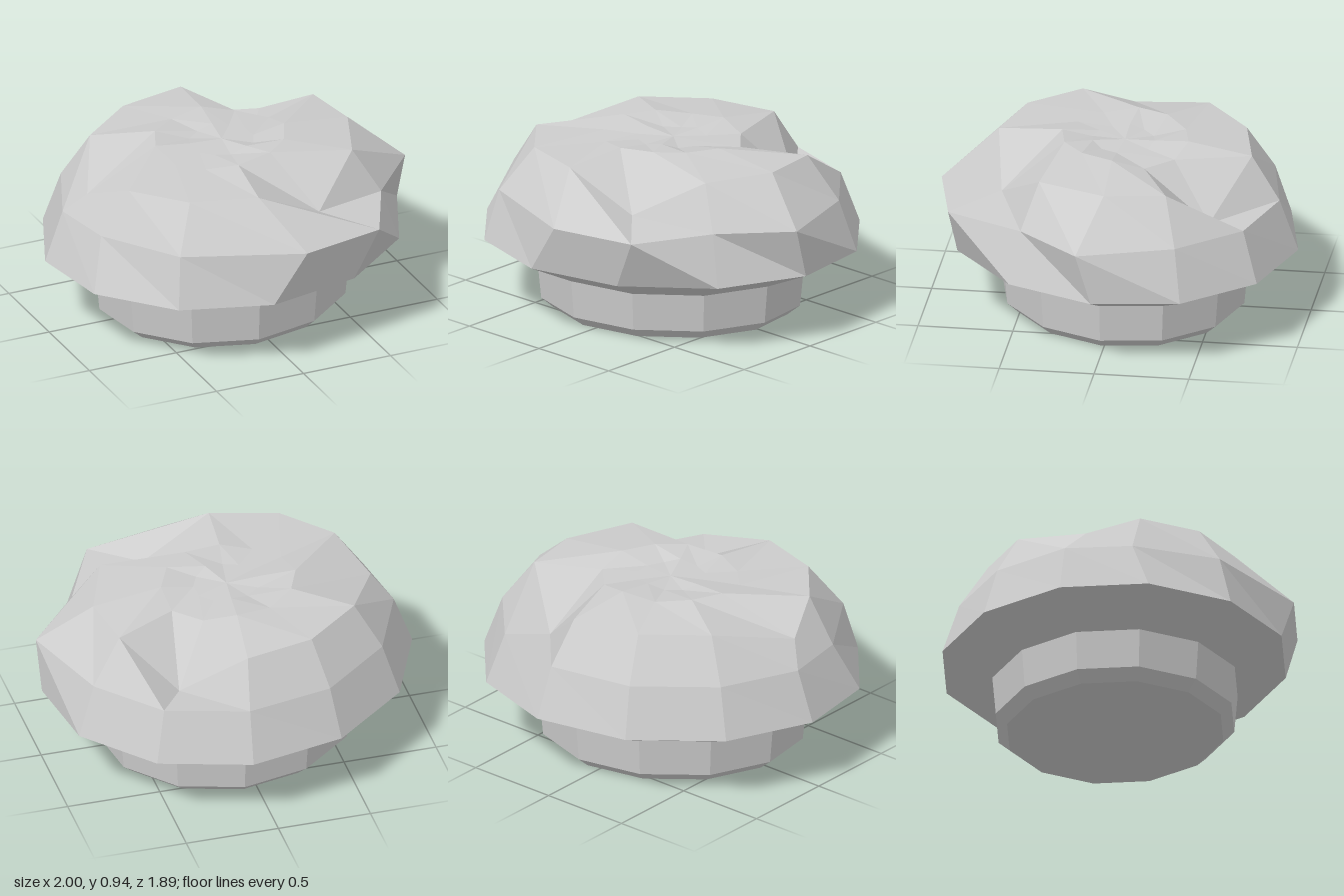
import * as THREE from 'three';

const SIDES = 12;

// Widest loop of the cap as [x, z]; the base repeats it at smaller scales.
const RIM = [[0.99, 0.02], [0.79, 0.48], [0.38, 0.81], [-0.13, 0.92], [-0.61, 0.77], [-0.93, 0.41],
  [-1, -0.05], [-0.8, -0.51], [-0.39, -0.84], [0.12, -0.95], [0.6, -0.8], [0.92, -0.44]];

// Bulging loop above the rim.
const BULGE = [[1, 0.1], [0.71, 0.43], [0.51, 0.84], [0.05, 0.94], [-0.57, 0.7], [-0.84, 0.3],
  [-0.9, -0.05], [-0.72, -0.46], [-0.35, -0.76], [0.11, -0.85], [0.54, -0.72], [0.83, -0.4]];

// Shoulder loop; two points sink to form the pleats.
const SHOULDER = [[0.72, -0.01], [0.58, 0.35], [0.28, 0.59], [-0.1, 0.66], [-0.45, 0.56], [-0.68, 0.3],
  [-0.8, 0.04], [-0.59, -0.38], [-0.29, -0.62], [0.08, -0.7], [0.4, -0.52], [0.67, -0.33]];
const SHOULDER_Y = { 2: 0.7, 6: 0.78, 10: 0.63 };

// Loop around the swirl on the crown.
const CROWN = [[0.35, 0], [0.27, 0.17], [0.14, 0.28], [-0.06, 0.32], [-0.22, 0.26], [-0.34, 0.14],
  [-0.37, -0.04], [-0.3, -0.2], [-0.15, -0.32], [0.04, -0.36], [0.21, -0.31], [0.34, -0.17]];
const CROWN_Y = { 3: 0.92, 4: 0.9, 5: 0.905, 8: 0.92, 10: 0.9, 11: 0.895 };

// Lifts a flat loop to a height, with optional exceptions per point.
function loop(points, y, scale = 1, special = {}) {
  return points.map(([x, z], i) => new THREE.Vector3(x * scale, special[i] ?? y, z * scale));
}

// Skins loops from bottom to top, with optional closing points at either end.
function skin(loops, bottom, top) {
  const corners = [];
  const next = (i) => (i + 1) % SIDES;
  for (let k = 0; k < loops.length - 1; k++) {
    const low = loops[k], high = loops[k + 1];
    for (let i = 0; i < SIDES; i++) {
      const j = next(i);
      corners.push(low[i], high[i], high[j], low[i], high[j], low[j]);
    }
  }
  for (let i = 0; i < SIDES; i++) {
    const j = next(i);
    if (bottom) corners.push(bottom, loops[0][i], loops[0][j]);
    if (top) {
      const last = loops[loops.length - 1];
      corners.push(top, last[j], last[i]);
    }
  }
  const geometry = new THREE.BufferGeometry().setFromPoints(corners);
  geometry.computeVertexNormals();
  return geometry;
}

export function createModel() {
  const group = new THREE.Group();
  group.name = 'pleatedBun';
  const grey = new THREE.MeshStandardMaterial({ color: 0xcccccc, flatShading: true });
  grey.name = 'light grey';

  const add = (name, geometry) => {
    const mesh = new THREE.Mesh(geometry, grey);
    mesh.name = name;
    group.add(mesh);
  };

  // Base with a bevelled foot
  add('base', skin([
    loop(RIM, 0, 0.63),
    loop(RIM, 0.055, 0.695),
    loop(RIM, 0.26, 0.715),
  ], new THREE.Vector3(0, 0, 0)));

  // Swollen cap with pleats and a sunken swirl
  add('cap', skin([
    loop(RIM, 0.26, 0.715),
    loop(RIM, 0.39),
    loop(BULGE, 0.66),
    loop(SHOULDER, 0.89, 1, SHOULDER_Y),
    loop(CROWN, 0.935, 1, CROWN_Y),
    loop(CROWN, 0.905, 0.5, { 2: 0.925, 6: 0.92, 9: 0.92 }),
  ], null, new THREE.Vector3(0, 0.91, -0.02)));

  return group;
}
